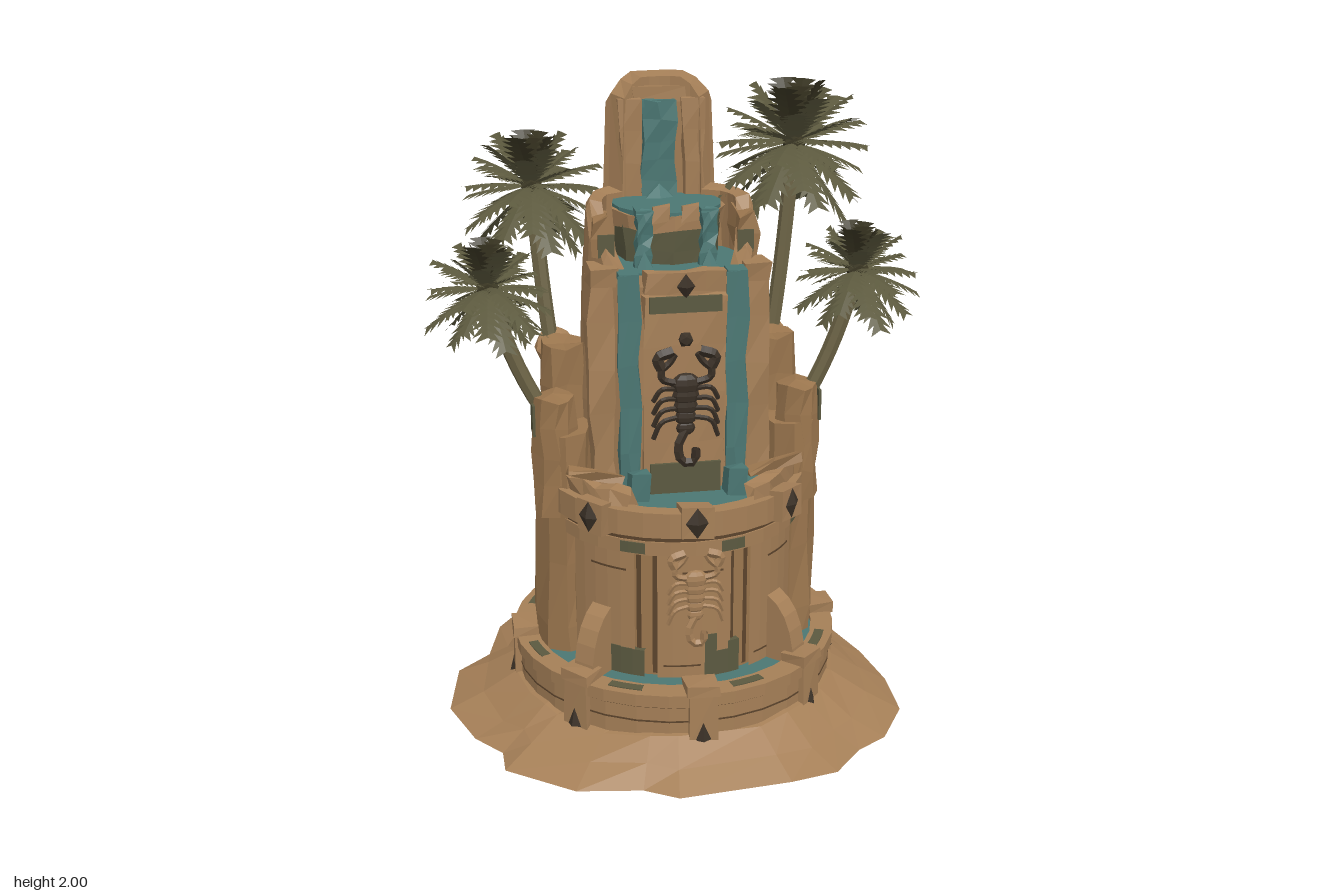
import * as THREE from 'three';

const mat = (name, color) => new THREE.MeshStandardMaterial({ name, color, flatShading: true, side: THREE.DoubleSide });
const SAND = mat('sandstone', 0xa57f57), ROCK = mat('rock', 0x9b764e), WATER = mat('water', 0x4b7773);
const DARK = mat('dark iron', 0x3a3026), MOSS = mat('moss', 0x5b5940), TRUNK = mat('palm trunk', 0x6d6446);
const LEAF = mat('palm leaf', 0x5c593e), LEAF_DARK = mat('dark palm leaf', 0x3b3723), CRACK = mat('crack', 0x5c442c);

// repeatable noise from a position, -1..1
const noise = (x, y, z) => {
  const s = Math.sin(x * 127.1 + y * 311.7 + z * 74.7) * 43758.5453;
  return (s - Math.floor(s)) * 2 - 1;
};

function jitter(geo, amount) {
  const p = geo.attributes.position;
  for (let i = 0; i < p.count; i++) {
    const v = [p.getX(i), p.getY(i), p.getZ(i)].map(c => Math.round(c * 1000) / 1000 + 0);
    p.setXYZ(i, v[0] + amount * noise(v[0], v[1], v[2]), v[1] + amount * noise(v[1], v[2], v[0]), v[2] + amount * noise(v[2], v[0], v[1]));
  }
  return geo;
}

// skin closed loops of equal length, listed bottom to top
function loft(loops) {
  const n = loops[0].length, idx = [];
  for (let i = 0; i < loops.length - 1; i++) for (let j = 0; j < n; j++) {
    const a = i * n + j, b = i * n + (j + 1) % n;
    idx.push(a, b, b + n, a, b + n, a + n);
  }
  const g = new THREE.BufferGeometry();
  g.setAttribute('position', new THREE.Float32BufferAttribute(loops.flat(2), 3));
  g.setIndex(idx);
  g.computeVertexNormals();
  return g;
}

export function createModel() {
  const root = new THREE.Group();
  const add = (name, geo, material, x = 0, y = 0, z = 0, parent = root) => {
    const m = new THREE.Mesh(geo, material);
    m.name = name;
    m.position.set(x, y, z);
    parent.add(m);
    return m;
  };
  const pivot = (name, angle) => {
    const g = new THREE.Group();
    g.name = name;
    g.rotation.y = angle;
    root.add(g);
    return g;
  };
  const box = (w, h, d, ...seg) => new THREE.BoxGeometry(w, h, d, ...seg);
  // curved wall section; angle 0 is the front
  const ring = (name, rIn, rOut, y0, y1, material, a0 = 0, span = Math.PI * 2, seg = 32) => {
    const pts = [[rIn, y0], [rOut, y0], [rOut, y1], [rIn, y1], [rIn, y0]].map(p => new THREE.Vector2(...p));
    return add(name, new THREE.LatheGeometry(pts, seg, a0, span), material);
  };

  // sand mound
  const outline = [[0, -.7], [-.1, -.69], [-.33, -.57], [-.5, -.57], [-.55, -.5], [-.6, -.3], [-.71, -.2], [-.75, .05],
    [-.68, .25], [-.6, .35], [-.6, .45], [-.4, .6], [-.2, .63], [-.1, .69], [.25, .66], [.4, .63], [.5, .52], [.6, .46],
    [.7, .3], [.71, .1], [.68, -.1], [.62, -.3], [.55, -.47], [.42, -.62], [.32, -.64], [.22, -.6]];
  const moundLoop = (y, k, r) => outline.map(([x, z]) => {
    const s = (1 - k) + k * r / Math.hypot(x, z);
    return [x * s, y ? y + .012 * noise(x, y, z) : 0, z * s];
  });
  add('sandMound', loft([moundLoop(0, 1, .001), moundLoop(0, 0, 1), moundLoop(.045, .5, .53), moundLoop(.105, 1, .53), moundLoop(.13, 1, .4)]), SAND);

  // lower basin
  ring('lowerBasinWall', .455, .515, .08, .2, SAND);
  ring('lowerBasinRim', .455, .527, .205, .245, SAND);
  ring('lowerBasinSeam', .46, .517, .198, .206, CRACK);
  ring('lowerBasinLine', .46, .517, .148, .153, CRACK);
  ring('lowerWater', .3, .46, .2, .232, WATER);
  for (let i = 0; i < 8; i++) {
    const p = pivot('basinPost', i * Math.PI / 4);
    add('post', jitter(box(.09, .18, .07), .005), SAND, 0, .175, .495, p);
    add('postCap', jitter(box(.105, .035, .085), .005), SAND, 0, .258, .493, p);
    add('postSpike', new THREE.ConeGeometry(.042, .1, 4).scale(1, 1, .6), DARK, 0, .145, .522, p);
    ring('rimMoss', .47, .5, .24, .248, MOSS, i * Math.PI / 4 + .2, .22, 3);
  }

  // rounded buttresses on the diagonals
  const bs = new THREE.Shape();
  bs.moveTo(0, 0);
  bs.lineTo(.14, 0);
  bs.bezierCurveTo(.14, .14, .09, .23, 0, .24);
  const buttress = new THREE.ExtrudeGeometry(bs, { depth: .07, bevelEnabled: false, curveSegments: 6 })
    .rotateY(-Math.PI / 2).translate(.035, 0, 0);
  for (let i = 0; i < 4; i++) add('buttress', buttress, SAND, 0, .22, .345, pivot('buttressGroup', Math.PI / 4 * (2 * i + 1)));

  // lower tower with panels, seams and cornice
  add('lowerTower', new THREE.CylinderGeometry(.365, .375, .66, 28), ROCK, 0, .43, 0);
  for (let i = 0; i < 8; i++) {
    const a = i * Math.PI / 4;
    ring('wallPanel', .33, .387, .12, .66, SAND, a - .3, .6, 5);
    ring('panelSeam', .36, .3885, .27, .275, CRACK, a - .25, .3, 3);
    ring('panelSeam', .36, .3885, .585, .591, CRACK, a - .1, .33, 3);
    for (const s of [-1, 1]) ring('panelGap', .35, .374, .24, .66, CRACK, a + s * .325 - .02, .04, 1);
    for (let k = 0; k < 3; k++)
      ring('mossPatch', .36, .389, .23, .29 + .09 * Math.abs(noise(i, k, 3)), MOSS, a + .08 + .1 * k, .1, 1);
  }
  ring('corniceBase', .3, .4, .65, .695, SAND);
  ring('corniceLine', .3, .395, .695, .715, CRACK);
  ring('corniceRim', .365, .415, .715, .795, SAND);
  for (let i = 0; i < 8; i++) {
    if (i % 4 === 2) continue;
    const p = pivot('corniceBracket', i * Math.PI / 4), r = i % 2 ? .41 : .385;
    add('bracketBlock', jitter(box(.1, .1, .07), .006), SAND, 0, .76, r, p);
    add('bracketSpike', new THREE.OctahedronGeometry(.045).scale(.8, 1.1, .35), DARK, 0, .765, r + .035, p);
    ring('corniceMoss', .37, .4025, .655, .69, MOSS, i * Math.PI / 4 + .2, .2, 3);
  }
  add('upperBasinWater', new THREE.CylinderGeometry(.37, .37, .03, 28), WATER, 0, .768, 0);
  for (const s of [-1, 1]) {
    const lip = ring('rimStone', .345, .39, .78, .84, SAND, s * .9 - .38, .76, 5);
    jitter(lip.geometry, .012);
  }

  // upper tower: a horseshoe wall whose top steps up toward the back
  const topAt = d => d <= 50 ? 1.46 : d <= 60 ? 1.51 : d <= 80 ? 1.57 : d < 140 ? 1.65 : d === 140 ? 1.94 : d === 150 ? 1.98 : 2;
  const wall = (k, hFn, taper) => Array.from({ length: 36 }, (_, j) => {
    const even = j <= 18 ? j * 10 : 360 - j * 10, deg = even === 130 ? 137 : even;
    const a = (j <= 18 ? deg : -deg) * Math.PI / 180, h = hFn(topAt(deg));
    const r = k(deg) * (1 + .02 * noise(j, h, 1));
    return [.29 * Math.sin(a) * r * taper, h, -.07 + .272 * Math.cos(a) * r];
  });
  const inner = d => d > 130 ? .68 : .77;
  add('upperTower', loft([
    wall(() => 1, () => .74, 1), wall(() => 1, h => .74 + (h - .74) * .35, 1), wall(() => 1, h => .74 + (h - .74) * .7, .95),
    wall(() => 1, h => h - .03, .9), wall(d => d >= 140 ? .95 : .96, h => h, .88), wall(inner, h => h - .01, .93), wall(inner, () => 1.38, 1)]), SAND);
  add('spoutLintel', jitter(box(.17, .045, .04), .006), SAND, -.005, 1.94, -.25);
  for (const s of [-1, 1]) {
    add('spoutJamb', jitter(box(.065, .32, .06, 1, 3, 1), .008), SAND, s * .1, 1.775, -.245);
    add('towerPilaster', jitter(box(.075, .68, .1, 1, 5, 1), .012), SAND, s * .24, 1.1, .07);
    add('pilasterCap', jitter(box(.09, .07, .12), .01), SAND, s * .235, 1.45, .07);
    add('poolShoulder', jitter(box(.06, .12, .14, 1, 2, 2), .012), ROCK, s * .225, 1.55, -.03);
    add('shoulderMoss', box(.05, .07, .006), MOSS, s * .215, 1.53, .048);
  }

  // upper pools
  add('middlePool', new THREE.CylinderGeometry(.225, .225, .02, 20).scale(1, 1, .96), WATER, 0, 1.45, -.06);
  add('topPoolBase', jitter(new THREE.CylinderGeometry(.17, .165, .2, 12, 2), .01), MOSS, 0, 1.505, -.13);
  add('topPoolRim', jitter(new THREE.CylinderGeometry(.18, .17, .05, 14), .008), SAND, 0, 1.588, -.13);
  add('topPoolWater', new THREE.CylinderGeometry(.172, .172, .02, 16), WATER, 0, 1.613, -.13);
  for (const s of [-1, 1]) add('topRimStone', jitter(box(.055, .045, .035), .006), SAND, s * .045, 1.62, .035);
  add('frontLedge', jitter(box(.24, .06, .05, 4, 1, 1), .007), SAND, 0, 1.45, .185);
  add('ledgeMoss', box(.22, .05, .008), MOSS, 0, 1.385, .213);
  add('ledgeSpike', new THREE.OctahedronGeometry(.035).scale(.8, 1.1, .6), DARK, 0, 1.44, .215);
  add('frontPanel', jitter(box(.25, .62, .04, 3, 4, 1), .006), SAND, 0, 1.1, .185);
  add('panelMoss', box(.22, .1, .01), MOSS, 0, .83, .212);
  add('panelStud', new THREE.IcosahedronGeometry(.025), DARK, 0, 1.275, .21);

  // waterfalls with a bent lip and splash
  const fall = (x, w, y0, y1, z) => {
    add('waterfall', jitter(box(w, y1 - y0, .025, 2, 5, 1), .008), WATER, x, (y0 + y1) / 2, z);
    add('waterLip', box(w, .022, .07), WATER, x, y1 - .008, z - .027);
    add('splash', jitter(new THREE.ConeGeometry(w * .65, .06, 6), .008), WATER, x, y0 + .025, z + .02);
  };
  fall(-.01, .105, 1.61, 1.92, -.225);
  for (const s of [-1, 1]) {
    fall(s * .1, .045, 1.46, 1.63, .04);
    fall(s * .165, .06, .77, 1.47, .172);
    add('fallBasinStone', jitter(box(.16, .025, .05, 2, 1, 1), .01), ROCK, s * .28, .86, .22).rotation.z = s * .25;
    add('basinOutflow', jitter(box(.06, .09, .06), .01), WATER, s * .15, .82, .24);
  }

  // side rock columns and boulders
  const rock = (x, z, rx, rz, y0, y1) => add('rockColumn',
    jitter(new THREE.CylinderGeometry(.93, 1, y1 - y0, 9, 4).scale(rx, 1, rz), .01), ROCK, x, (y0 + y1) / 2, z);
  for (const s of [-1, 1]) {
    rock(s * .36, .01, .1, .15, .1, .96);
    rock(s * .335, -.075, .08, .085, .7, 1.2);
    rock(s * .385, .065, .07, .075, .7, 1.07);
    rock(s * .33, -.2, .062, .068, .7, 1.12);
    add('boulder', jitter(new THREE.IcosahedronGeometry(.07, 1), .006), SAND, s * .35, 1.14, -.2);
    add('rockMoss', box(.008, .1, .07), MOSS, s * .452, 1, .065);
  }

  // scorpion reliefs
  const scorpion = (material, y, z, k) => {
    const g = new THREE.Group();
    g.name = 'scorpionRelief';
    g.position.set(0, y, z);
    g.scale.setScalar(k);
    root.add(g);
    const tube = (name, pts, r) => add(name, new THREE.TubeGeometry(
      new THREE.CatmullRomCurve3(pts.map(p => new THREE.Vector3(...p))), 8, r, 5), material, 0, 0, 0, g);
    for (let i = 0; i < 5; i++)
      add('bodySegment', new THREE.SphereGeometry(.046 - .004 * i, 8, 6).scale(1, .8, .45), material, 0, .075 - .035 * i, 0, g);
    tube('tail', [[0, -.07, 0], [-.025, -.12, .008], [-.012, -.17, .01], [.025, -.17, .012], [.03, -.13, .015]], .015);
    for (const s of [-1, 1]) {
      tube('clawArm', [[s * .025, .08, 0], [s * .075, .1, .008], [s * .075, .14, .008]], .012);
      tube('clawOuter', [[s * .075, .13, .008], [s * .088, .165, .008], [s * .04, .185, .008]], .018);
      tube('clawInner', [[s * .072, .13, .008], [s * .05, .15, .008], [s * .035, .175, .008]], .011);
      for (let i = 0; i < 4; i++)
        tube('leg', [[s * .025, .06 - .03 * i, 0], [s * .075, .065 - .035 * i, .01], [s * .1, .025 - .04 * i, 0]], .008);
    }
  };
  scorpion(DARK, 1.06, .215, 1);
  scorpion(SAND, .505, .392, .85);

  // palms: bent trunk and a ball of serrated fronds
  const fronds = (R, start, end, n) => {
    const pos = [];
    for (let i = start; i < end; i++) {
      const az = i * 2.4, e = 1.4 - 2.3 * i / n, L = R * (1 + .13 * noise(i, R, 5));
      const at = (t, side = 0, drop = 0) => {
        const h = L * t * Math.cos(e);
        return [Math.sin(az) * h + Math.cos(az) * side, L * (t * Math.sin(e) - .18 * t * t) - drop, Math.cos(az) * h - Math.sin(az) * side];
      };
      for (let k = 0; k < 7; k++) for (const s of [-1, 1]) {
        const t = .06 + k * .12, w = L * .25 * Math.sin(Math.PI * (.2 + .7 * t));
        const tri = [at(t), at(t + .2), at(Math.min(t + .28, 1.02), s * w, w * .2)];
        pos.push(...(s > 0 ? tri : [tri[1], tri[0], tri[2]]).flat());
      }
    }
    const g = new THREE.BufferGeometry();
    g.setAttribute('position', new THREE.Float32BufferAttribute(pos, 3));
    g.computeVertexNormals();
    return g;
  };
  const palms = [[-.36, 1.1, -.18, -.41, 1.66, -.25, .215], [-.42, 1.02, .05, -.575, 1.42, .06, .185],
    [.35, 1.12, -.18, .42, 1.78, -.2, .245], [.42, 1.02, .05, .565, 1.43, .07, .185]];
  for (const [x0, y0, z0, x1, y1, z1, R] of palms) {
    const curve = new THREE.QuadraticBezierCurve3(new THREE.Vector3(x0, y0, z0),
      new THREE.Vector3(x0 * .35 + x1 * .65, (y0 + y1) / 2 - .03, (z0 + z1) / 2), new THREE.Vector3(x1, y1, z1));
    add('palmTrunk', new THREE.TubeGeometry(curve, 8, .025, 7), TRUNK);
    add('palmHeart', new THREE.IcosahedronGeometry(.04), LEAF_DARK, x1, y1, z1);
    add('palmCrownTop', fronds(R, 0, 6, 46), LEAF_DARK, x1, y1, z1);
    add('palmCrown', fronds(R, 6, 46, 46), LEAF, x1, y1, z1);
  }
  return root;
}
